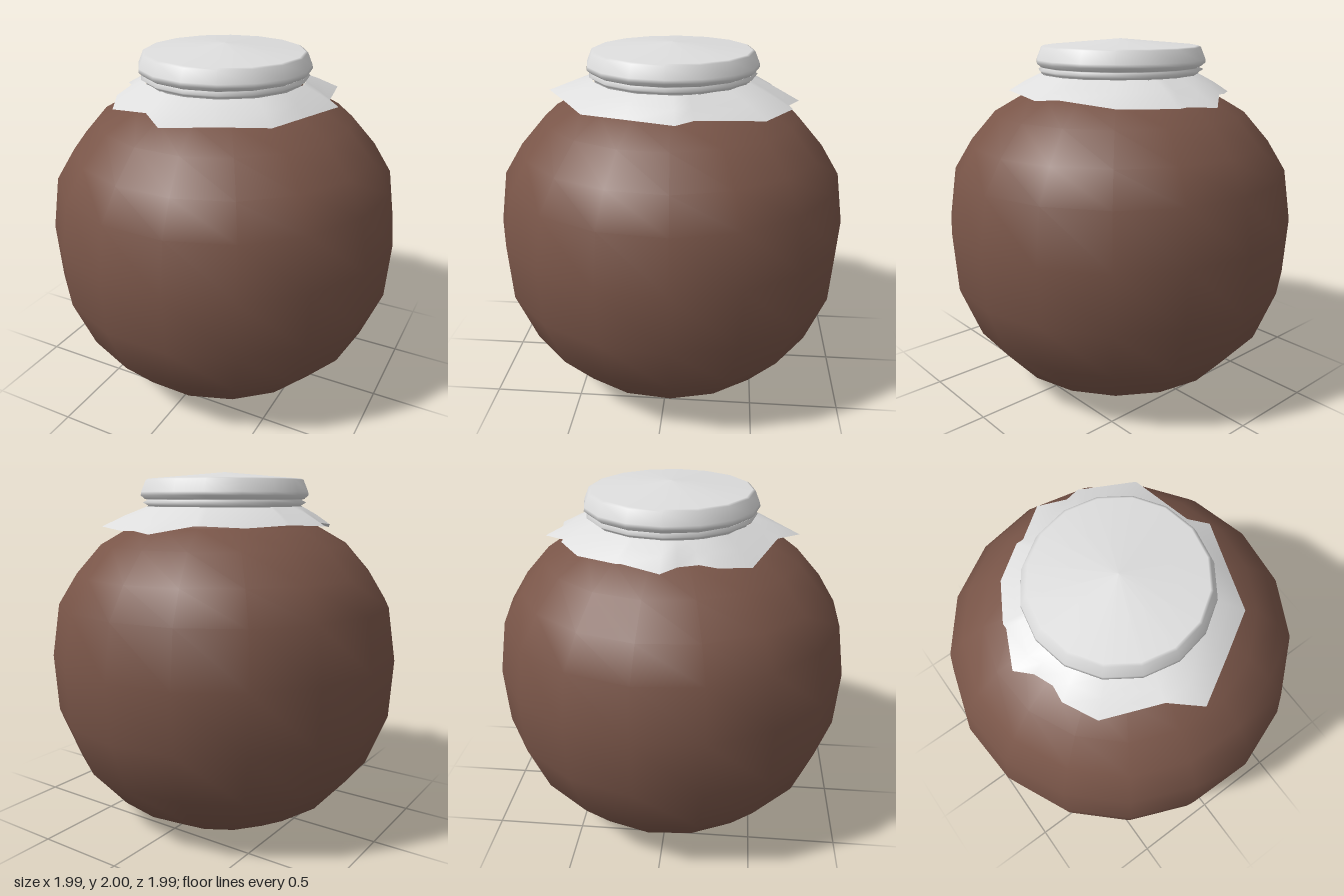
import * as THREE from 'three';

const clay = new THREE.MeshStandardMaterial({ color: 0x795548 });
clay.name = 'brown clay';
const cloth = new THREE.MeshStandardMaterial({ color: 0xdddddd, side: THREE.DoubleSide });
cloth.name = 'pale cloth';

function turned(name, profile, sides, start, material) {
  const points = profile.map(([r, y]) => new THREE.Vector2(r, y));
  const mesh = new THREE.Mesh(new THREE.LatheGeometry(points, sides, start), material);
  mesh.name = name;
  return mesh;
}

// Ragged cloth hem: corners as x, y, z, running round from the front towards +x
const hem = [
  [0, 1.72, 0.695], [0.235, 1.72, 0.56], [0.47, 1.71, 0.42], [0.55, 1.71, 0.18],
  [0.635, 1.71, -0.07], [0.555, 1.715, -0.16], [0.48, 1.7, -0.51], [0.2, 1.69, -0.66],
  [0.12, 1.69, -0.645], [-0.03, 1.68, -0.71], [-0.21, 1.72, -0.565], [-0.25, 1.72, -0.565],
  [-0.43, 1.71, -0.44], [-0.55, 1.72, -0.23], [-0.55, 1.72, -0.2], [-0.645, 1.71, 0],
  [-0.57, 1.72, 0.08], [-0.53, 1.72, 0.18], [-0.54, 1.71, 0.27], [-0.45, 1.685, 0.44],
  [-0.15, 1.74, 0.57],
];

// Three rings: tied neck, soft fold, ragged hem
function clothSkirt() {
  const positions = [], index = [], n = hem.length;
  for (let ring = 0; ring < 3; ring++) {
    for (const [x, y, z] of hem) {
      const a = Math.atan2(x, z), r = Math.hypot(x, z);
      const t = ring / 2;
      const radius = THREE.MathUtils.lerp(0.445, r, t);
      const height = THREE.MathUtils.lerp(1.81, y, t) + (ring === 1 ? 0.005 : 0);
      positions.push(radius * Math.sin(a), height, radius * Math.cos(a));
    }
  }
  for (let ring = 0; ring < 2; ring++) {
    for (let i = 0; i < n; i++) {
      const a = ring * n + i, b = ring * n + (i + 1) % n;
      index.push(a, a + n, b, b, a + n, b + n);
    }
  }
  const geometry = new THREE.BufferGeometry();
  geometry.setAttribute('position', new THREE.Float32BufferAttribute(positions, 3));
  geometry.setIndex(index);
  geometry.computeVertexNormals();
  const mesh = new THREE.Mesh(geometry, cloth);
  mesh.name = 'clothSkirt';
  return mesh;
}

export function createModel() {
  const model = new THREE.Group();
  model.name = 'coveredJar';

  // Round jar body with a small flat base and a short neck
  model.add(turned('jarBody', [
    [0, 0.005], [0.455, 0.015], [0.67, 0.14], [0.865, 0.36], [0.98, 0.65], [1, 0.975],
    [0.955, 1.27], [0.85, 1.44], [0.71, 1.6], [0.535, 1.7], [0.44, 1.73], [0.42, 1.82],
  ], 17, Math.PI - 0.02, clay));

  // Domed cloth top, then the pinched tie below it
  const lid = turned('clothTop', [
    [0.455, 1.85], [0.48, 1.87], [0.477, 1.89], [0.45, 1.955], [0.435, 1.962], [0, 2],
  ], 16, 0, cloth);
  const tie = turned('neckTie', [
    [0.44, 1.8], [0.44, 1.815], [0.468, 1.832], [0.44, 1.845], [0.46, 1.852],
  ], 16, 0, cloth);
  for (const part of [lid, tie]) part.position.set(-0.005, 0, -0.005);
  model.add(lid, tie, clothSkirt());
  return model;
}
